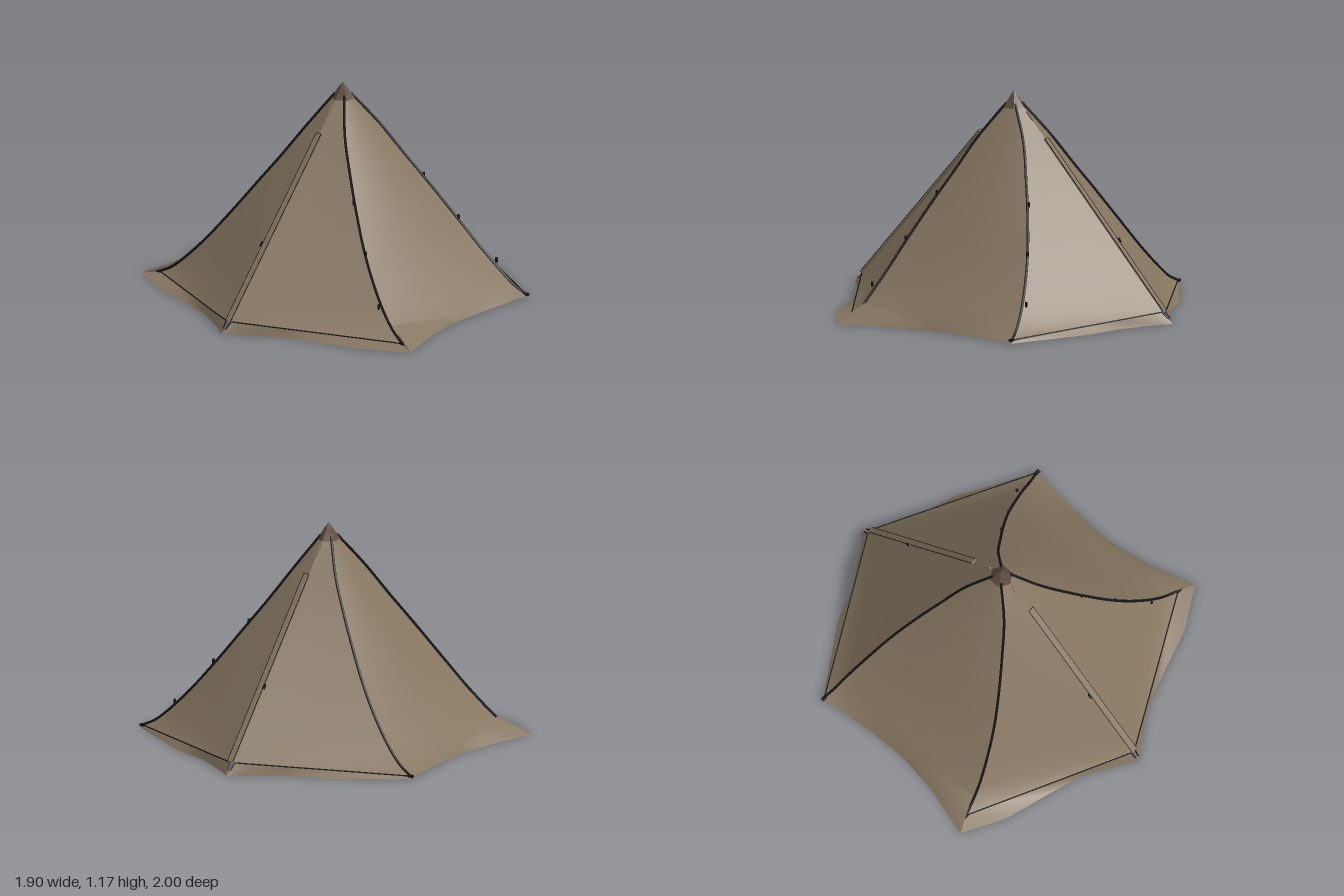
import * as THREE from 'three';

const mat = (name, color) => {
  const m = new THREE.MeshStandardMaterial({ color, side: THREE.DoubleSide });
  m.name = name;
  return m;
};

// Surface through rows of points, all rows the same length
function sheet(rows) {
  const n = rows[0].length, index = [];
  for (let i = 0; i < rows.length - 1; i++)
    for (let j = 0; j < n - 1; j++) {
      const a = i * n + j, b = a + n;
      index.push(a, b, a + 1, a + 1, b, b + 1);
    }
  const g = new THREE.BufferGeometry();
  g.setAttribute('position', new THREE.Float32BufferAttribute(rows.flat(2), 3));
  g.setIndex(index);
  g.computeVertexNormals();
  return g;
}

const lerp = (a, b, t) => a.map((v, k) => v + (b[k] - v) * t);

// Moves a point away from the tent's upright axis, and up a little
const outward = ([x, y, z], d) => {
  const r = Math.hypot(x, z);
  return [x + (x / r) * d * 0.8, y + d * 0.6, z + (z / r) * d * 0.8];
};

// Curved corner ridge, from under the cap to the ground
const RIDGE = [
  [0.03, 1.1, 0.025], [0.135, 0.92, 0.14], [0.24, 0.75, 0.22], [0.34, 0.6, 0.29], [0.47, 0.41, 0.37],
  [0.6, 0.24, 0.43], [0.71, 0.12, 0.47], [0.79, 0.05, 0.49], [0.87, 0.01, 0.51],
];
// Outward bulge of the side panel at each ridge point
const BULGE = [0, 0.015, 0.025, 0.03, 0.03, 0.025, 0.025, 0.01, -0.04];

// Point on the straight ridge at the middle of the front or back
const centreRidge = (y) => {
  const t = (1.1 - y) / 1.09;
  return [0, 1.1 - 1.04 * t, 0.045 + 0.905 * t];
};

export function createModel() {
  const tent = new THREE.Group();
  tent.name = 'tent';
  const canvas = mat('canvas', 0x857560);
  const cover = mat('cap brown', 0x5c4a3e);
  const black = mat('black trim', 0x141414);

  const add = (name, geometry, material, parent = tent) => {
    const m = new THREE.Mesh(geometry, material);
    m.name = name;
    parent.add(m);
    return m;
  };
  const cord = (name, points, radius) => {
    const path = new THREE.CatmullRomCurve3(points.map((p) => new THREE.Vector3(...p)));
    add(name, new THREE.TubeGeometry(path, points.length * 4, radius, 5), black);
  };

  for (const sx of [1, -1]) {
    const side = sx > 0 ? 'left' : 'right';

    // Side panel, bowed between its two corner ridges
    add(side + 'SidePanel', sheet(RIDGE.map(([x, y, z], i) => {
      const row = [];
      for (let j = 0; j <= 10; j++) {
        const u = 1 - j / 5, bow = 1 - u * u;
        row.push([sx * (x + BULGE[i] * bow), y * (i === 8 ? 1 - bow : 1), z * u]);
      }
      return row;
    })), canvas);

    // Flared skirt at the front end of the side panel
    add(side + 'SideSkirt', sheet([
      [[0.86, 0.015, 0.505], [0.77, 0.09, 0.475], [0.8, 0.07, 0.28], [0.82, 0.03, 0.06]],
      [[0.95, 0, 0.55], [0.949, 0, 0.545], [0.87, 0, 0.28], [0.832, 0, 0.06]],
    ].map((r) => r.map(([x, y, z]) => [sx * x, y, z]))), canvas);

    for (const sz of [1, -1]) {
      const end = side + (sz > 0 ? 'Front' : 'Back');
      const flip = ([x, y, z]) => [sx * x, y, sz * z];

      // Flat panel between the centre ridge and the corner ridge
      add(end + 'Panel', sheet(RIDGE.map((p) => {
        const c = centreRidge(p[1]);
        return [0, 0.25, 0.5, 0.75, 1].map((t) => flip(lerp(c, p, t)));
      })), canvas);

      // Skirt below the panel with a scalloped ground edge
      const ground = [[0.003, 0, 1], [0.06, 0, 0.95], [0.27, 0, 0.82], [0.47, 0, 0.755],
        ...(sz > 0 ? [[0.72, 0, 0.68], [0.95, 0, 0.55]] : [[0.72, 0, 0.6], [0.87, 0, 0.51]])];
      const hem = [0.02, 0.07, 0.31, 0.54, 0.8, 1].map((t) => lerp([0, 0.06, 0.95], [0.86, 0.015, 0.505], t));
      add(end + 'Skirt', sheet([hem.map(flip), ground.map(flip)]), canvas);

      // Dark piping lying on the corner, the lower hem and the skirt opening
      cord(end + 'CornerPiping', RIDGE.map((p) => flip(outward(p, 0.006))), 0.0075);
      cord(end + 'HemSeam', [hem[0], hem[2], hem[5]].map((p) => flip(outward(p, 0.004))), 0.0035);
      cord(end + 'OpeningEdge', [hem[0], lerp(hem[0], ground[0], 0.6)].map(flip), 0.004);
      add(end + 'CornerAnchor', new THREE.BoxGeometry(0.03, 0.012, 0.02), black)
        .position.set(sx * 0.863, 0.018, sz * 0.508);

      // Small guy-line loops, on the model's left corners only
      if (sx > 0)
        for (const p of [[0.32, 0.63, 0.285], [0.485, 0.4, 0.378], [0.667, 0.17, 0.48]])
          add(end + 'GuyLoop', new THREE.BoxGeometry(0.01, 0.028, 0.01), black)
            .position.set(...flip(outward(p, 0.008)));
    }
  }

  for (const sz of [1, -1]) {
    const end = sz > 0 ? 'front' : 'back';

    // Zip cover lying along the ridge, with stitched edges
    const door = new THREE.Group();
    door.name = end + 'Door';
    door.position.set(0.007, 0.495, sz * 0.574);
    door.rotation.x = -sz * Math.atan2(0.75, 0.87);
    tent.add(door);
    const length = 1.14;
    add('zipCover', new THREE.BoxGeometry(0.035, length, 0.008), canvas, door).position.z = sz * 0.004;
    for (const x of [-0.017, 0.017])
      add('zipEdge', new THREE.BoxGeometry(0.003, length, 0.003), black, door).position.set(x, 0, sz * 0.008);
    add('zipTop', new THREE.BoxGeometry(0.035, 0.003, 0.003), black, door).position.set(0, length / 2, sz * 0.008);
    add('zipPull', new THREE.BoxGeometry(0.01, 0.028, 0.014), black, door).position.set(-0.022, -0.11, sz * 0.008);

    // Small vent flap just below the cap
    const vent = add(end + 'Vent', new THREE.BoxGeometry(0.01, 0.06, 0.012), canvas);
    vent.position.set(0, 1.04, sz * 0.1);
    vent.rotation.x = door.rotation.x;
  }

  // Six-sided flared cap
  const profile = [[0.064, 1.08], [0.042, 1.11], [0.02, 1.145], [0, 1.17]].map((p) => new THREE.Vector2(...p));
  const cap = new THREE.LatheGeometry(profile, 6).toNonIndexed();
  cap.computeVertexNormals();
  add('cap', cap, cover);

  return tent;
}
